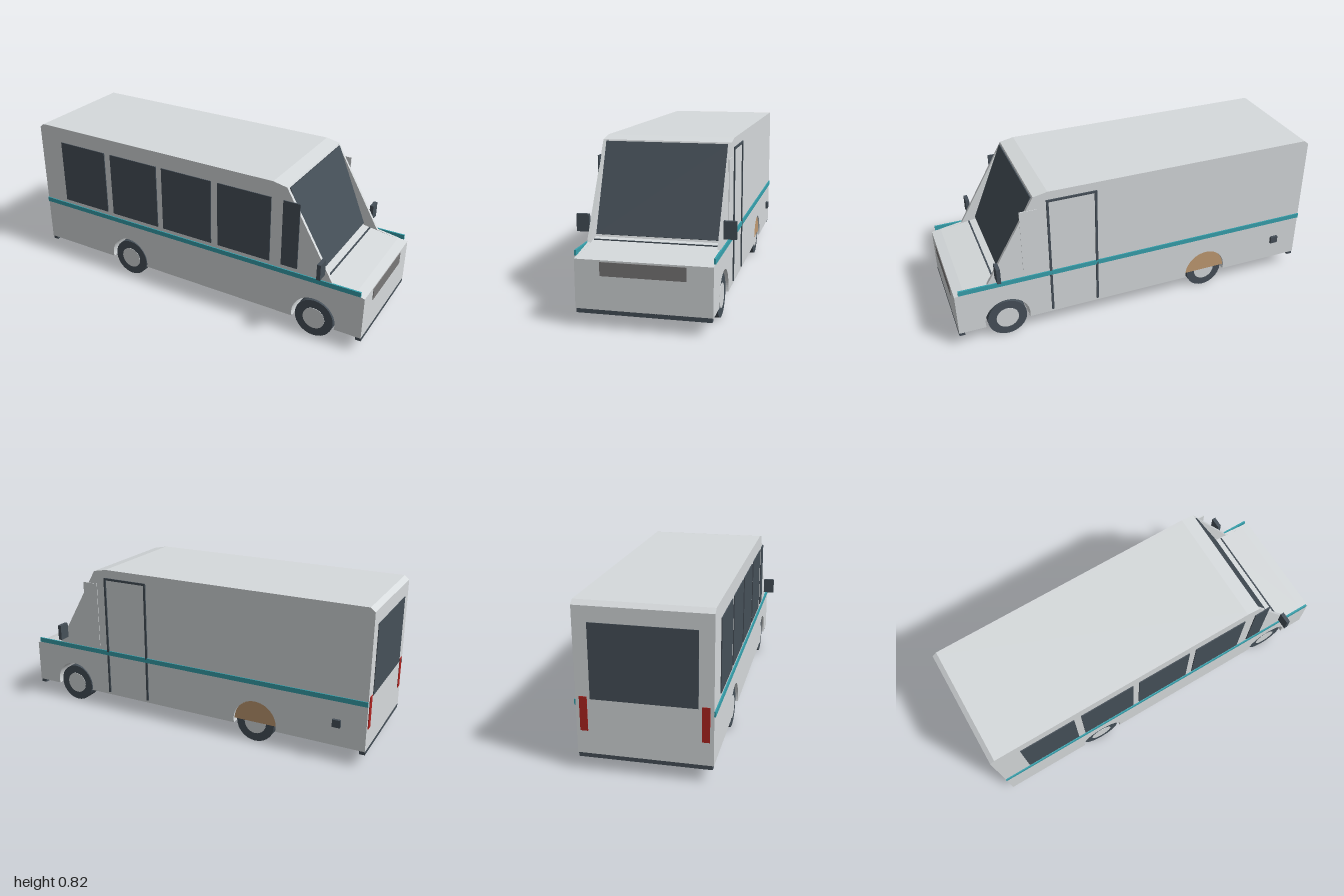
import * as THREE from 'three';

const mat = (name, color, extra = {}) => Object.assign(new THREE.MeshStandardMaterial({ color, ...extra }), { name });

export function createModel() {
  const paint = mat('body paint', 0xd6dadc);
  const dark = mat('dark glass and rubber', 0x465059);
  const teal = mat('teal stripe', 0x37a2ae);
  const grey = mat('grille grey', 0x7a7878);
  const tan = mat('tan liner', 0xc09a72);
  const red = mat('tail light red', 0xb02420);
  const bus = new THREE.Group();
  bus.name = 'bus';

  const add = (name, geo, material, parent = bus) => {
    const m = new THREE.Mesh(geo, material);
    m.name = name;
    parent.add(m);
    return m;
  };
  // Box given by its min and max on each axis
  const box = (name, material, [x0, x1], [y0, y1], [z0, z1]) => {
    const m = add(name, new THREE.BoxGeometry(x1 - x0, y1 - y0, z1 - z0), material);
    m.position.set((x0 + x1) / 2, (y0 + y1) / 2, (z0 + z1) / 2);
    return m;
  };

  const REAR = -0.41, FRONT = 0.74, BASE = 0.085;

  // Side outline with wheel arches; nose holds the points from windshield foot to bonnet
  const outline = (nose) => {
    const s = new THREE.Shape();
    s.moveTo(-1, BASE);
    for (const cx of [REAR, FRONT]) {
      s.lineTo(cx - 0.117, BASE);
      s.absarc(cx, 0.11, 0.12, Math.PI + 0.21, -0.21, true);
    }
    for (const [x, y] of [[1, BASE], [1, 0.318], [0.95, 0.33], ...nose,
      [0.565, 0.805], [0.49, 0.82], [-0.975, 0.82], [-1, 0.8]]) s.lineTo(x, y);
    s.closePath();
    return s;
  };
  const slab = (name, shape, z0, z1) => {
    const geo = new THREE.ExtrudeGeometry(shape, { depth: z1 - z0, bevelEnabled: false, curveSegments: 20 });
    add(name, geo, paint).position.z = z0;
  };
  slab('body', outline([[0.75, 0.36]]), -0.303, 0.303);
  const sideShape = outline([[0.83, 0.35]]);
  slab('leftSidePanel', sideShape, 0.303, 0.32);
  slab('rightSidePanel', sideShape, -0.32, -0.303);

  // Windshield and wiper slot
  const shield = add('windshield', new THREE.BoxGeometry(0.008, 0.462, 0.604), dark);
  shield.position.set(0.66, 0.584, 0);
  shield.rotation.z = Math.atan2(0.185, 0.445);
  box('wiperSlot', dark, [0.786, 0.794], [0.35, 0.358], [-0.298, 0.298]);

  // Side windows, with a blank quarter panel on the door side
  for (const [a, b] of [[-0.85, -0.545], [-0.505, -0.2], [-0.165, 0.14], [0.18, 0.485], [0.55, 0.64]])
    box('sideWindow', dark, [a, b], [0.375, 0.735], [0.318, 0.325]);
  box('quarterPanel', paint, [0.55, 0.64], [0.375, 0.735], [-0.323, -0.317]);

  // Door frame
  for (const x of [0.242, 0.495])
    box('doorPost', dark, [x - 0.006, x + 0.006], [0.1, 0.775], [-0.326, -0.318]);
  box('doorHeader', dark, [0.236, 0.501], [0.763, 0.775], [-0.326, -0.318]);

  // Stripes, mirrors, rear lights
  for (const s of [1, -1]) {
    const z = (a, b) => (s > 0 ? [a, b] : [-b, -a]);
    box('stripe', teal, [-1, 0.98], [0.326, 0.352], z(0.317, 0.326));
    box('mirror', dark, [0.77, 0.79], [0.39, 0.475], z(0.323, 0.385));
    box('tailLight', red, [-1.003, -0.997], [0.2, 0.37], z(0.265, 0.302));
  }
  box('rearWindow', dark, [-1.003, -0.997], [0.36, 0.725], [-0.25, 0.25]);
  box('fuelCap', dark, [-0.872, -0.83], [0.19, 0.23], [-0.335, -0.318]);
  box('grille', grey, [0.997, 1.003], [0.245, 0.31], [-0.2, 0.2]);
  box('frontBumper', dark, [0.97, 1.0], [0.065, 0.086], [-0.315, 0.315]);
  box('rearBumper', dark, [-1.0, -0.97], [0.065, 0.086], [-0.315, 0.315]);
  box('underfloorTank', grey, [-0.185, 0.015], [0.016, 0.074], [-0.1, 0.1]);

  // Wheels: single in front, paired at the rear
  const tyreGeo = new THREE.CylinderGeometry(0.105, 0.105, 0.066, 28).rotateX(Math.PI / 2);
  const hubGeo = new THREE.CylinderGeometry(0.06, 0.06, 0.07, 28).rotateX(Math.PI / 2);
  const axleGeo = new THREE.CylinderGeometry(0.014, 0.014, 0.5, 12).rotateX(Math.PI / 2);
  for (const cx of [REAR, FRONT]) {
    for (const s of [1, -1]) {
      for (const z of cx === REAR ? [0.275, 0.198] : [0.275]) {
        const wheel = new THREE.Group();
        wheel.name = 'wheel';
        wheel.position.set(cx, 0.105, s * z);
        add('tyre', tyreGeo, dark, wheel);
        add('hub', hubGeo, paint, wheel);
        bus.add(wheel);
      }
      box('leafSpring', dark, [cx - 0.12, cx + 0.12], [0.1, 0.116], [s * 0.13 - 0.015, s * 0.13 + 0.015]);
    }
    add('axle', axleGeo, dark).position.set(cx, 0.1, 0);
    box('axlePlate', tan, [cx - 0.105, cx + 0.105], [0.16, 0.168], [-0.1, 0.1]);
  }

  // Arch liner behind the rear wheel on the door side, facing outward only
  const liner = add('archLiner', new THREE.CircleGeometry(0.118, 24, 0, Math.PI), tan);
  liner.position.set(REAR, 0.11, -0.312);
  liner.rotation.y = Math.PI;

  return bus;
}
